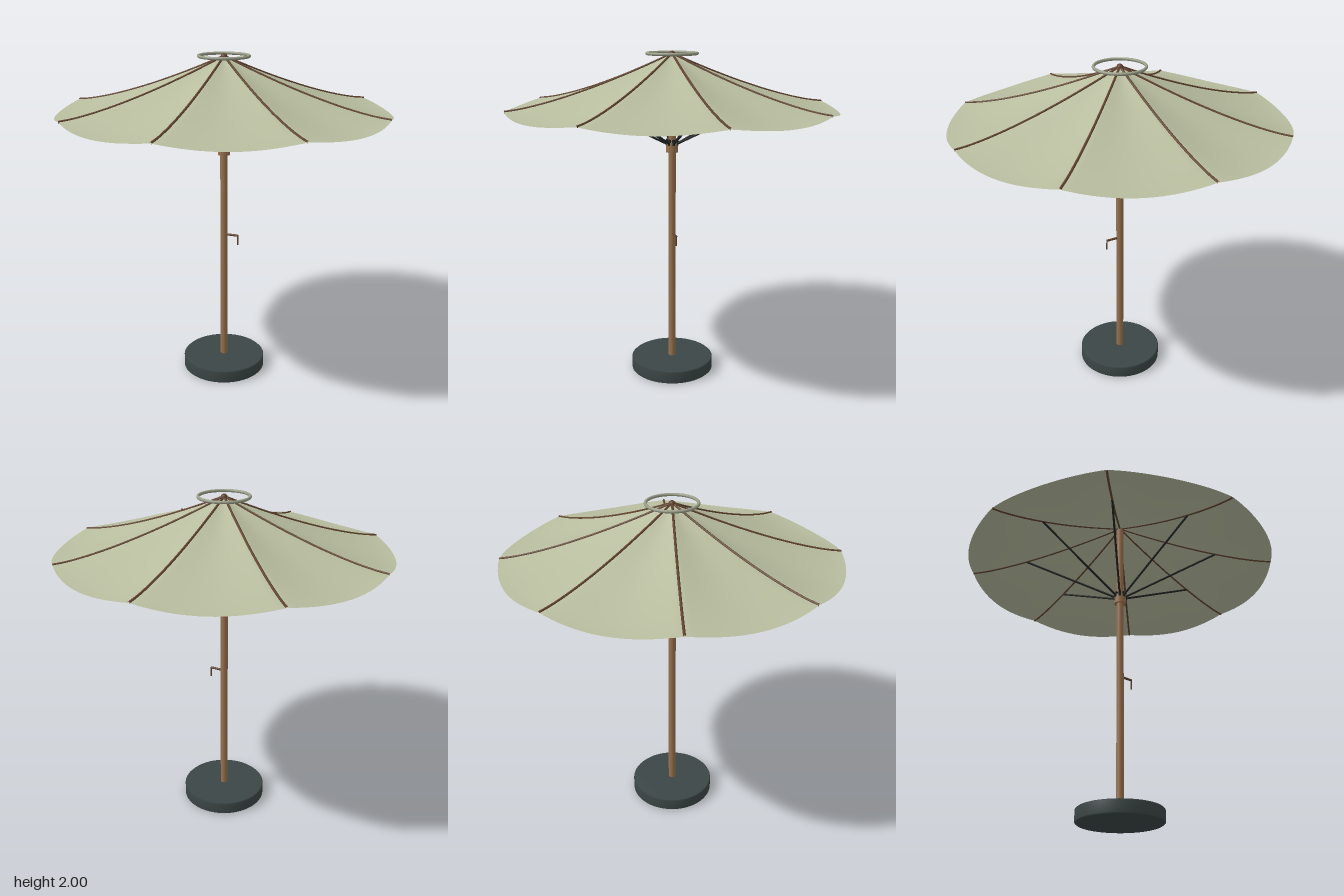
import * as THREE from 'three';

const material = (name, color) => {
  const m = new THREE.MeshStandardMaterial({ color });
  m.name = name;
  return m;
};

const RADIUS = 0.975, SIDES = 8;

// Height of a rib at fraction t of the canopy radius
const ribHeight = (t) => 1.68 + 0.305 * Math.pow(1 - t, 1.4);

// Fabric sags between neighbouring ribs
function canopyHeight(t, a) {
  const sag = 0.026 * t + 0.08 * t * (1 - t);
  return ribHeight(t) - sag * Math.abs(Math.sin(a * SIDES / 2));
}

function canopyGeometry(rings = 28, segments = 128) {
  const pos = [0, ribHeight(0), 0], index = [];
  for (let i = 1; i <= rings; i++) {
    const t = i / rings;
    for (let j = 0; j < segments; j++) {
      const a = j / segments * Math.PI * 2;
      pos.push(Math.cos(a) * t * RADIUS, canopyHeight(t, a), Math.sin(a) * t * RADIUS);
    }
  }
  const at = (i, j) => 1 + (i - 1) * segments + j % segments;
  for (let j = 0; j < segments; j++) {
    index.push(0, at(1, j + 1), at(1, j));
    for (let i = 1; i < rings; i++) {
      index.push(at(i, j), at(i, j + 1), at(i + 1, j));
      index.push(at(i, j + 1), at(i + 1, j + 1), at(i + 1, j));
    }
  }
  const g = new THREE.BufferGeometry();
  g.setAttribute('position', new THREE.Float32BufferAttribute(pos, 3));
  g.setIndex(index);
  g.computeVertexNormals();
  return g;
}

export function createModel() {
  const group = new THREE.Group();
  group.name = 'parasol';

  const fabric = material('sage fabric', 0xb8bd9f);
  fabric.side = THREE.DoubleSide;
  const trim = material('grey green trim', 0x9a9e88);
  const wood = material('wood', 0x98724f);
  const darkWood = material('dark wood', 0x60422e);
  const metal = material('black metal', 0x222525);
  const stone = material('slate base', 0x3c4646);

  const add = (name, geometry, mat, parent = group, x = 0, y = 0, z = 0) => {
    const m = new THREE.Mesh(geometry, mat);
    m.name = name;
    m.position.set(x, y, z);
    parent.add(m);
    return m;
  };

  // Straight round bar between two points
  const bar = (name, a, b, r, mat, parent) => {
    const dir = b.clone().sub(a);
    const m = add(name, new THREE.CylinderGeometry(r, r, dir.length(), 12), mat, parent);
    m.position.copy(a).addScaledVector(dir, 0.5);
    m.quaternion.setFromUnitVectors(new THREE.Vector3(0, 1, 0), dir.normalize());
    return m;
  };
  const v = (x, y, z = 0) => new THREE.Vector3(x, y, z);

  // Weighted base with softened rims
  const baseProfile = [[0, 0], [0.25, 0], [0.257, 0.006], [0.257, 0.073], [0.25, 0.08], [0, 0.08]]
    .map(([x, y]) => new THREE.Vector2(x, y));
  const base = new THREE.LatheGeometry(baseProfile, 64);
  add('base', base, stone);

  // Pole and sliding hub
  add('pole', new THREE.CylinderGeometry(0.0225, 0.0225, 1.9, 32), wood, group, 0, 1.03, 0);
  add('hub', new THREE.CylinderGeometry(0.037, 0.037, 0.06, 32), wood, group, 0, 1.435, 0);

  // Canopy, crown ring and finial
  add('canopy', canopyGeometry(), fabric);
  const ring = add('crownRing', new THREE.TorusGeometry(0.147, 0.009, 12, 64), trim, group, 0, 1.985, 0);
  ring.rotation.x = Math.PI / 2;
  add('finial', new THREE.SphereGeometry(0.02, 20, 14), darkWood, group, 0, 1.98, 0);

  // Ribs following the canopy, each with a strut down to the hub
  const ribPath = [];
  for (let i = 0; i <= 12; i++) ribPath.push(v(i / 12 * RADIUS, ribHeight(i / 12)));
  const ribGeometry = new THREE.TubeGeometry(new THREE.CatmullRomCurve3(ribPath), 32, 0.007, 8);
  for (let k = 0; k < SIDES; k++) {
    const arm = new THREE.Group();
    arm.name = 'arm' + (k + 1);
    arm.rotation.y = k / SIDES * Math.PI * 2;
    group.add(arm);
    add('rib', ribGeometry, darkWood, arm);
    bar('strut', v(0.03, 1.455), v(0.62, ribHeight(0.62 / RADIUS) - 0.004), 0.0065, metal, arm);
    add('strutBracket', new THREE.BoxGeometry(0.014, 0.035, 0.014), metal, arm, 0.032, 1.465, 0);
  }

  // Crank handle on the left of the pole
  const crank = new THREE.Group();
  crank.name = 'crank';
  group.add(crank);
  bar('crankShaft', v(0.015, 0.9), v(0.09, 0.9), 0.007, darkWood, crank);
  bar('crankHandle', v(0.09, 0.903), v(0.092, 0.84), 0.0045, darkWood, crank);

  return group;
}
